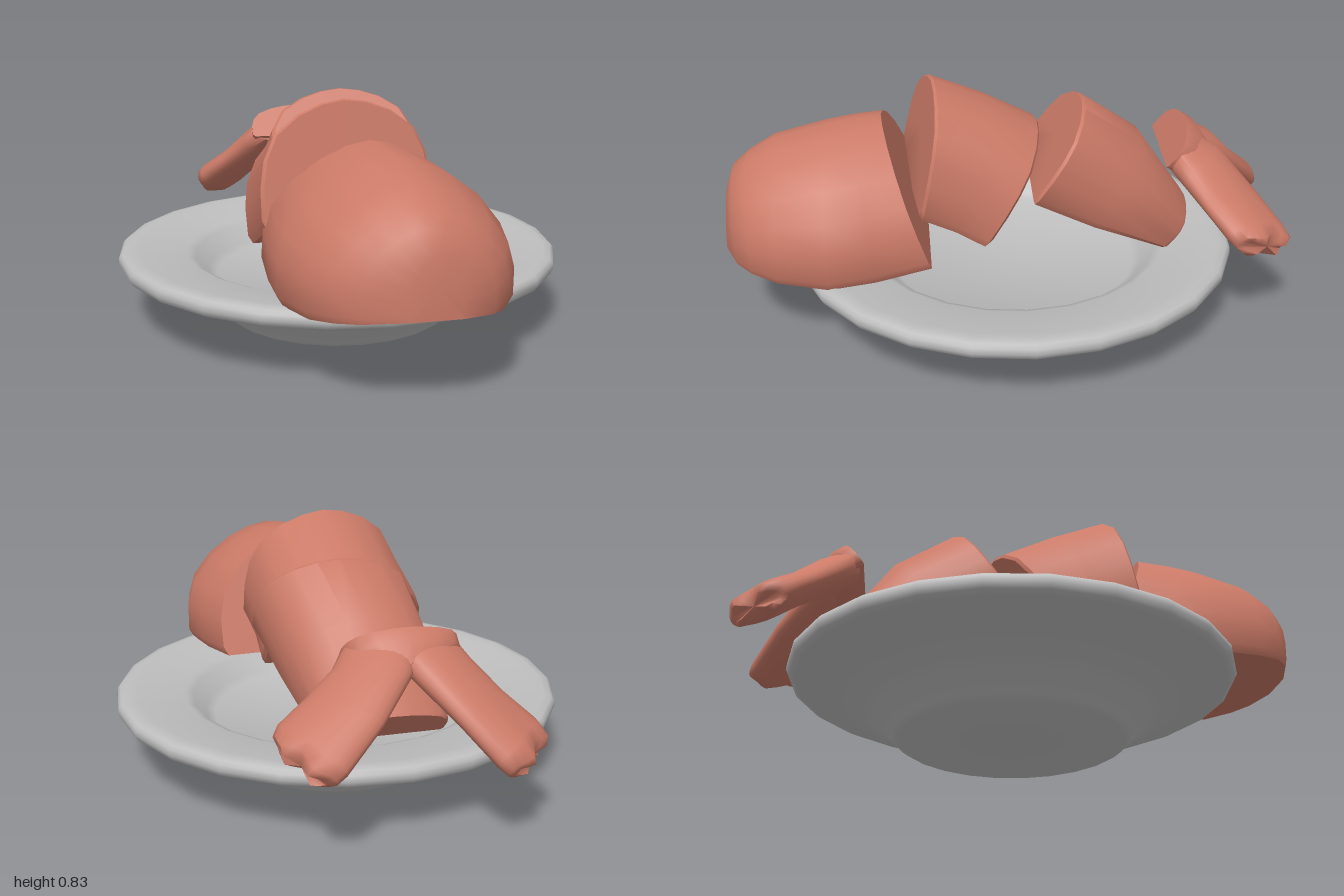
import * as THREE from 'three';
import { toCreasedNormals } from 'three/addons/utils/BufferGeometryUtils.js';

const V = (x, y, z) => new THREE.Vector3(x, y, z);

function centre(ring) {
  return ring.reduce((s, p) => s.add(p), V(0, 0, 0)).divideScalar(ring.length);
}

// Skin a row of closed rings (running front to back) and cap both ends.
function loft(rings, crease) {
  const n = rings[0].length, pos = [], idx = [];
  rings.forEach(r => r.forEach(p => pos.push(p.x, p.y, p.z)));
  for (let i = 0; i < rings.length - 1; i++) {
    for (let j = 0; j < n; j++) {
      const a = i * n + j, b = i * n + (j + 1) % n;
      idx.push(a, a + n, b, b, a + n, b + n);
    }
  }
  [0, rings.length - 1].forEach((r, end) => {
    const c = centre(rings[r]), k = pos.length / 3;
    pos.push(c.x, c.y, c.z);
    for (let j = 0; j < n; j++) {
      const a = r * n + j, b = r * n + (j + 1) % n;
      if (end) idx.push(k, b, a); else idx.push(k, a, b);
    }
  });
  const g = new THREE.BufferGeometry();
  g.setAttribute('position', new THREE.Float32BufferAttribute(pos, 3));
  g.setIndex(idx);
  return toCreasedNormals(g, crease);
}

// Domed outlines with a flat base, mirrored from half an outline running base to crown.
const mirrored = half => [...half, [0, 1], ...half.slice().reverse().map(([x, y]) => [-x, y])];
const slim = mirrored([[0.95, 0], [1, 0.07], [1, 0.3], [0.93, 0.5], [0.73, 0.71], [0.47, 0.87], [0.22, 0.965]]);
const full = mirrored([[0.95, 0], [1, 0.07], [1, 0.32], [0.95, 0.54], [0.82, 0.74], [0.55, 0.89], [0.27, 0.97]]);

// x, base y, base z, crown y, crown z, half width, yaw (z shift at the +x edge), crown x shift
const domeRings = (outline, sections) => sections.map(([x, y0, z0, y1, z1, w, yaw = 0, lean = 0]) =>
  outline.map(([u, v]) => V(x + u * w + v * lean, y0 + v * (y1 - y0), z0 + v * (z1 - z0) + u * yaw)));

// Slice with slightly rounded cut edges.
function slice(sections) {
  const rings = domeRings(full, sections), last = rings.length - 1;
  const inset = (r, next) => {
    const c = centre(r), out = c.clone().sub(centre(next)).normalize().multiplyScalar(0.01);
    return r.map(p => p.clone().lerp(c, 0.04).add(out));
  };
  return loft([inset(rings[0], rings[1]), ...rings, inset(rings[last], rings[last - 1])], 0.65);
}

// Flat fin: each section is [-x edge, +x edge, half thickness, lobe length].
function fin(sections, lean, axis) {
  const up = V(lean, 0.8, -0.5).normalize(), n = 24;
  return loft(sections.map(([l, r, t, lobe = 0]) => {
    const a = V(...l), b = V(...r), ring = [];
    for (let j = 0; j < n; j++) {
      const q = j / n * Math.PI * 2, u = Math.cos(q);
      ring.push(a.clone().lerp(b, (u + 1) / 2)
        .addScaledVector(up, Math.sin(q) * t)
        .addScaledVector(axis, lobe * Math.sin(Math.PI * u) ** 2));
    }
    return ring;
  }), 1.3);
}

export function createModel() {
  const group = new THREE.Group();
  const meat = new THREE.MeshStandardMaterial({ color: 0xcb7a67 });
  meat.name = 'cooked coral';
  const china = new THREE.MeshStandardMaterial({ color: 0xbebebe });
  china.name = 'plate grey';
  const add = (name, geometry, material) => {
    const m = new THREE.Mesh(geometry, material);
    m.name = name;
    group.add(m);
    return m;
  };

  // Plate with a wide, nearly flat rim and a shallow well
  const profile = [[0, 0], [0.4, 0], [0.42, 0.015], [0.485, 0.08], [0.54, 0.11], [0.65, 0.157], [0.765, 0.195],
    [0.785, 0.205], [0.795, 0.225], [0.793, 0.245], [0.782, 0.257], [0.755, 0.262], [0.72, 0.256],
    [0.55, 0.234], [0.52, 0.222], [0.475, 0.165], [0.445, 0.148], [0, 0.145]];
  const plate = new THREE.LatheGeometry(profile.map(p => new THREE.Vector2(...p)), 24);
  add('plate', toCreasedNormals(plate, 0.72), china).position.z = -0.02;

  // Rounded front end
  add('frontPiece', loft(domeRings(slim, [
    [0.07, 0.305, 1.0, 0.50, 0.99, 0.08],
    [0.05, 0.295, 0.955, 0.575, 0.965, 0.21],
    [0.045, 0.285, 0.9, 0.62, 0.91, 0.275],
    [0.04, 0.27, 0.81, 0.67, 0.82, 0.33],
    [0.035, 0.257, 0.64, 0.712, 0.64, 0.375],
    [0.02, 0.262, 0.48, 0.725, 0.54, 0.362],
    [0.005, 0.285, 0.29, 0.73, 0.445, 0.338],
  ]), 0.85), meat);

  // Two middle slices
  add('frontSlice', slice([
    [-0.04, 0.43, 0.345, 0.835, 0.255, 0.3, -0.03],
    [-0.045, 0.37, 0.22, 0.76, 0.07, 0.29, -0.02],
    [-0.05, 0.31, 0.11, 0.665, -0.11, 0.298, -0.01],
  ]), meat);
  add('rearSlice', slice([
    [0.045, 0.505, -0.075, 0.785, -0.265, 0.275, 0.01, 0.02],
    [0.03, 0.385, -0.29, 0.64, -0.47, 0.25, 0.01],
    [0.01, 0.265, -0.545, 0.375, -0.65, 0.215, 0.01],
  ]), meat);

  // Tail root and its two spread fins
  add('tailRoot', loft(domeRings(full, [
    [-0.03, 0.55, -0.56, 0.66, -0.65, 0.19, 0.012],
    [-0.03, 0.525, -0.6, 0.635, -0.69, 0.185, 0.012],
    [-0.02, 0.49, -0.66, 0.57, -0.735, 0.11],
  ]), 1.0), meat);
  add('rightFin', fin([
    [[-0.215, 0.565, -0.595], [0.02, 0.585, -0.655], 0.06],
    [[-0.25, 0.51, -0.645], [-0.02, 0.535, -0.765], 0.065],
    [[-0.33, 0.425, -0.72], [-0.12, 0.42, -0.875], 0.055],
    [[-0.41, 0.35, -0.785], [-0.205, 0.315, -0.98], 0.06, 0.01],
    [[-0.42, 0.325, -0.81], [-0.235, 0.285, -0.995], 0.055, 0.028],
    [[-0.405, 0.315, -0.83], [-0.26, 0.28, -0.985], 0.03, 0.035],
  ], -0.25, V(-0.7, -0.3, -0.62)), meat);
  add('leftFin', fin([
    [[-0.06, 0.585, -0.655], [0.165, 0.565, -0.575], 0.06],
    [[-0.01, 0.54, -0.755], [0.205, 0.52, -0.61], 0.065],
    [[0.12, 0.435, -0.865], [0.31, 0.46, -0.665], 0.055],
    [[0.26, 0.335, -0.95], [0.41, 0.41, -0.72], 0.06, 0.01],
    [[0.295, 0.315, -0.96], [0.43, 0.39, -0.745], 0.055, 0.028],
    [[0.315, 0.31, -0.945], [0.42, 0.38, -0.77], 0.03, 0.035],
  ], 0.25, V(0.78, -0.3, -0.5)), meat);

  return group;
}
